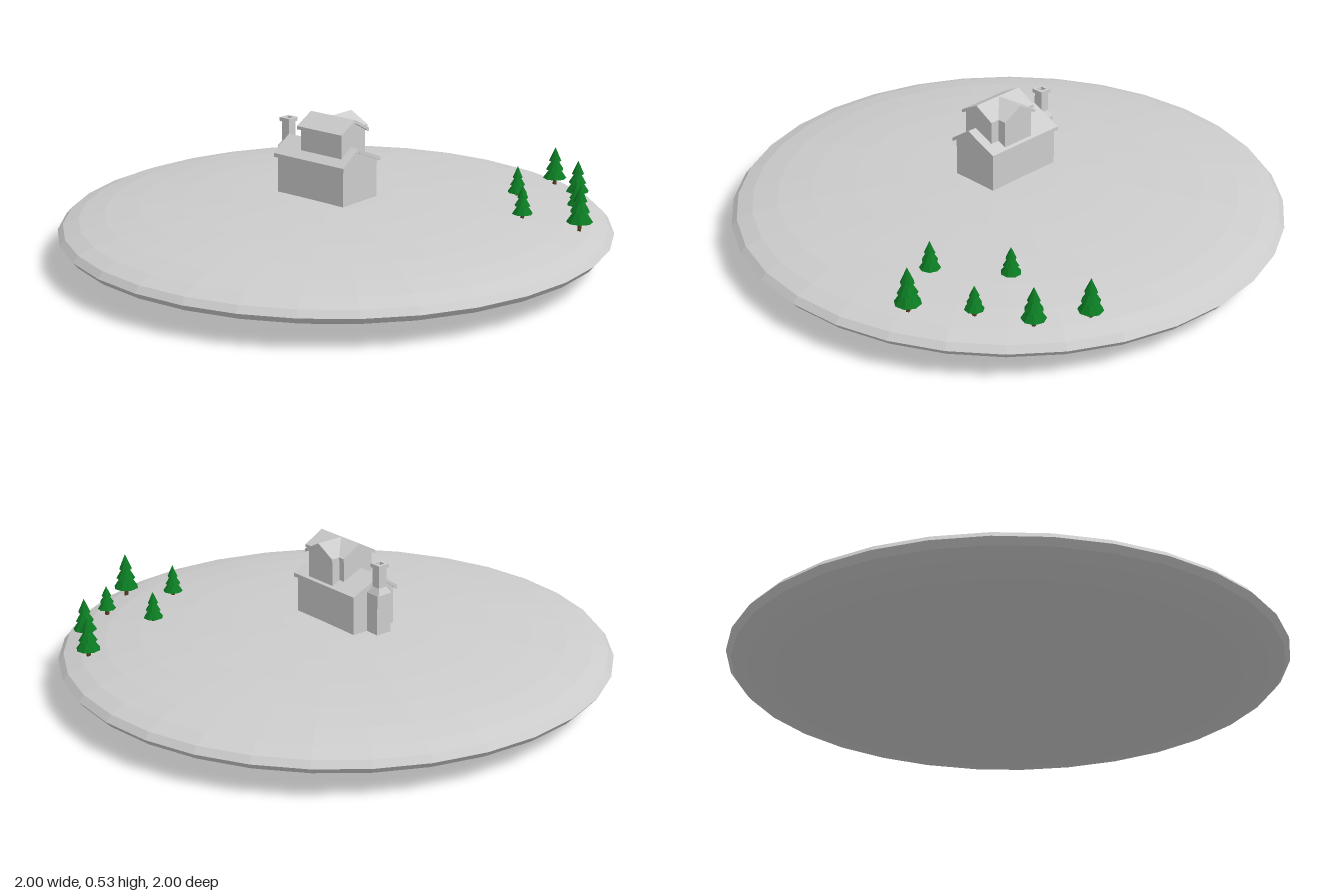
import * as THREE from 'three';

const grey = new THREE.MeshStandardMaterial({ color: 0xcccccc, flatShading: true });
const green = new THREE.MeshStandardMaterial({ color: 0x0b7a22, flatShading: true });
const brown = new THREE.MeshStandardMaterial({ color: 0x5a3a1c, flatShading: true });

function add(parent, name, geometry, material = grey) {
  const mesh = new THREE.Mesh(geometry, material);
  mesh.name = name;
  parent.add(mesh);
  return mesh;
}

// Extrudes an outline from z0 to z1
function prism(points, z0, z1) {
  const shape = new THREE.Shape(points.map(([x, y]) => new THREE.Vector2(x, y)));
  return new THREE.ExtrudeGeometry(shape, { depth: z1 - z0, bevelEnabled: false }).translate(0, 0, z0);
}

// Gabled storey: pentagonal walls and an overhanging chevron roof along z
function storey(name, { left, right, ridge, base, eave, peak, back, front, over, thick = 0.014 }) {
  const group = new THREE.Group();
  group.name = name;
  const top = peak - thick;
  add(group, name + 'Walls', prism(
    [[left, base], [right, base], [right, eave], [ridge, top], [left, eave]], back, front));
  const drop = (x) => eave - over * (top - eave) / Math.abs(ridge - x);
  const yl = drop(left), yr = drop(right);
  add(group, name + 'Roof', prism([
    [left - over, yl], [ridge, top], [right + over, yr],
    [right + over, yr + thick], [ridge, peak], [left - over, yl + thick],
  ], back - over, front + over));
  return group;
}

// Square ring with a flue opening
function flueRing(half, hole, height) {
  const square = (path, s) => path.moveTo(-s, -s).lineTo(s, -s).lineTo(s, s).lineTo(-s, s).closePath();
  const shape = square(new THREE.Shape(), half);
  shape.holes.push(square(new THREE.Path(), hole));
  return new THREE.ExtrudeGeometry(shape, { depth: height, bevelEnabled: false }).rotateX(-Math.PI / 2);
}

function createChimney() {
  const chimney = new THREE.Group();
  chimney.name = 'chimney';
  add(chimney, 'chimneyBase', new THREE.BoxGeometry(0.064, 0.17, 0.055)).position.set(0, 0.295, 0.002);
  // Sloped shoulder between the base and the stack
  const shoulder = new THREE.CylinderGeometry(0.017 * Math.SQRT2, 0.03 * Math.SQRT2, 0.022, 4).rotateY(Math.PI / 4);
  add(chimney, 'chimneyShoulder', shoulder).position.y = 0.391;
  add(chimney, 'chimneyStack', new THREE.BoxGeometry(0.034, 0.08, 0.034)).position.y = 0.435;
  add(chimney, 'chimneyCap', flueRing(0.023, 0.012, 0.014)).position.y = 0.474;
  chimney.position.set(-0.03, 0, -0.199);
  return chimney;
}

function createHouse() {
  const house = new THREE.Group();
  house.name = 'house';
  house.add(storey('lowerStorey', {
    left: -0.122, right: 0.064, ridge: -0.05, base: 0.21, eave: 0.37, peak: 0.433,
    back: -0.17, front: 0.138, over: 0.01,
  }));
  house.add(storey('upperStorey', {
    left: -0.1, right: 0.03, ridge: -0.035, base: 0.34, eave: 0.482, peak: 0.53,
    back: -0.077, front: 0.112, over: 0.01, thick: 0.012,
  }));
  // Cross wing with its ridge running towards +x
  const wing = storey('crossWing', {
    left: -0.077, right: 0.053, ridge: -0.012, base: 0.34, eave: 0.482, peak: 0.529,
    back: -0.02, front: 0.063, over: 0.01, thick: 0.012,
  });
  wing.rotation.y = Math.PI / 2;
  house.add(wing, createChimney());
  return house;
}

// Conifer of three stacked cones; height runs from trunk foot to tip
function createTree(x, z, foot, tip, radius, turn) {
  const tree = new THREE.Group();
  tree.name = 'tree';
  const h = tip - foot;
  add(tree, 'trunk', new THREE.CylinderGeometry(0.006, 0.008, h * 0.4, 6), brown).position.y = h * 0.2;
  const tiers = [[0.22, 0.42, 1], [0.44, 0.36, 0.76], [0.66, 0.34, 0.52]];
  tiers.forEach(([start, size, width], i) => {
    const cone = add(tree, 'foliage', new THREE.ConeGeometry(radius * width, h * size, 8), green);
    cone.position.y = h * (start + size / 2);
    cone.rotation.y = turn + i * 0.35;
  });
  tree.position.set(x, foot, z);
  return tree;
}

export function createModel() {
  const model = new THREE.Group();
  model.name = 'houseOnMound';

  // Flattened low-poly mound
  const mound = new THREE.SphereGeometry(1, 32, 16).scale(1, 0.1175, 1).translate(0, 0.1175, 0);
  add(model, 'ground', mound);

  model.add(createHouse());

  // x, z, foot, tip, radius
  const trees = [
    [0.27, 0.63, 0.19, 0.32, 0.037],
    [0.36, 0.81, 0.165, 0.335, 0.047],
    [0.48, 0.46, 0.19, 0.315, 0.036],
    [0.535, 0.68, 0.175, 0.287, 0.034],
    [0.7, 0.575, 0.16, 0.31, 0.043],
    [0.795, 0.41, 0.16, 0.312, 0.044],
  ];
  trees.forEach((t, i) => model.add(createTree(...t, i * 0.6)));
  return model;
}
